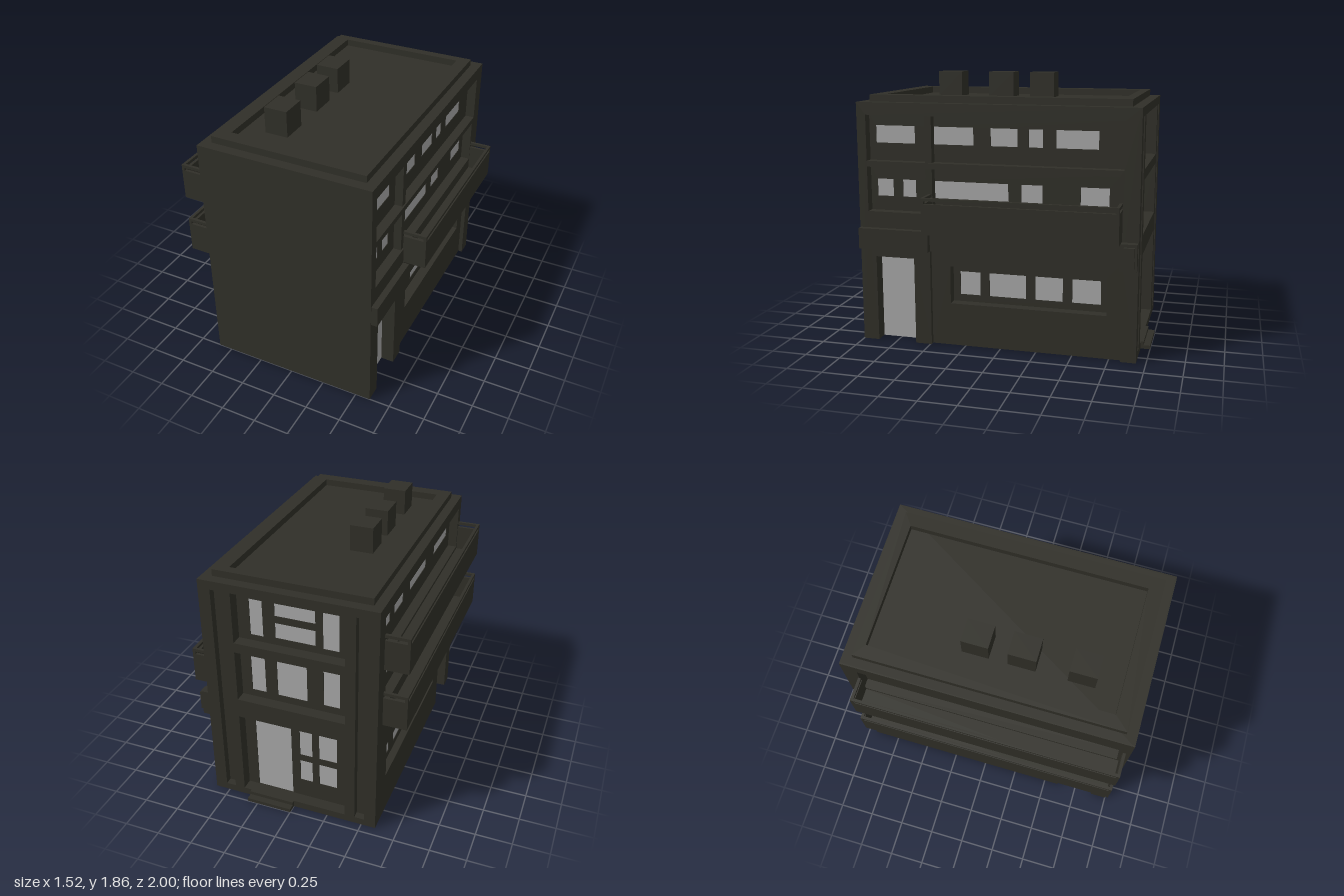
import * as THREE from 'three';

export function createModel() {
  const model = new THREE.Group();
  const concrete = new THREE.MeshStandardMaterial({ color: 0x302f28, side: THREE.DoubleSide });
  concrete.name = 'dark concrete';
  const glass = new THREE.MeshStandardMaterial({ color: 0xa8a8a8, side: THREE.DoubleSide });
  glass.name = 'grey glass';

  const add = (parent, name, geo, mat = concrete) => {
    const m = new THREE.Mesh(geo, mat);
    m.name = name;
    parent.add(m);
    return m;
  };
  // box from its lower and upper limits
  const box = (parent, name, x0, x1, y0, y1, z0, z1) =>
    add(parent, name, new THREE.BoxGeometry(x1 - x0, y1 - y0, z1 - z0))
      .position.set((x0 + x1) / 2, (y0 + y1) / 2, (z0 + z1) / 2);

  // thin sheet with rectangular holes; holes that reach the ground become notches
  // a rectangle is [u0, v0, u1, v1]
  function sheet(parent, name, r, holes, z, t = 0.01, mat = concrete) {
    const notches = holes.filter(h => h[1] <= r[1]).sort((a, b) => a[0] - b[0]);
    const pts = [[r[0], r[1]]];
    for (const n of notches) pts.push([n[0], r[1]], [n[0], n[3]], [n[2], n[3]], [n[2], r[1]]);
    pts.push([r[2], r[1]], [r[2], r[3]], [r[0], r[3]]);
    const shape = new THREE.Shape(pts.map(p => new THREE.Vector2(...p)));
    for (const h of holes.filter(h => h[1] > r[1])) {
      shape.holes.push(new THREE.Path([[h[0], h[1]], [h[0], h[3]], [h[2], h[3]], [h[2], h[1]]]
        .map(p => new THREE.Vector2(...p))));
    }
    const geo = new THREE.ExtrudeGeometry(shape, { depth: t, bevelEnabled: false });
    add(parent, name, geo, mat).position.z = z - t;
  }

  // reveals going back from an opening
  function reveals(parent, r, z, d) {
    const [a, b, c, e] = r, t = 0.008;
    box(parent, 'reveal', a - t, a, b, e, z - d, z - 0.001);
    box(parent, 'reveal', c, c + t, b, e, z - d, z - 0.001);
    box(parent, 'reveal', a, c, e, e + t, z - d, z - 0.001);
    if (b > 0) box(parent, 'reveal', a, c, b - t, b, z - d, z - 0.001);
  }

  // recessed bay: reveals, back panel and panes of glass
  function bay(parent, r, z, d, panes) {
    reveals(parent, r, z, d);
    sheet(parent, 'bayPanel', r, panes, z - d);
    for (const p of panes) sheet(parent, 'windowPane', p, [], z - d - 0.004, 0.004, glass);
  }
  function door(parent, r, z, d) {
    reveals(parent, r, z, d);
    sheet(parent, 'door', r, [], z - d, 0.006, glass);
  }

  // ---- long side walls ----
  function sideWall(s) {
    const right = s < 0;
    const g = new THREE.Group();
    g.name = right ? 'rightSideWall' : 'leftSideWall';
    g.rotation.y = right ? Math.PI / 2 : -Math.PI / 2;
    g.position.x = right ? 0.605 : -0.6;
    // rectangle given by positions along the building
    const R = (za, y0, zb, y1) => [Math.min(s * za, s * zb), y0, Math.max(s * za, s * zb), y1];
    const row = (spans, y0, y1) => spans.map(([a, b]) => R(a, y0, b, y1));

    const top = R(0.935, 1.28, -0.83, 1.595), mid = R(0.935, 0.93, -0.8, 1.24);
    const frame = R(right ? 0.355 : 0.47, 0.3, -0.73, 0.565);
    const entry = R(0.887, 0, 0.607, 0.61), ground = R(0.49, 0, -0.83, 0.67);
    const topPanes = right
      ? [[0.887, 0.605], [0.468, 0.19], [0.07, -0.115], [-0.19, -0.285], [-0.375, -0.655]]
      : [[0.85, 0.49], [0.28, -0.11], [-0.26, -0.45], [-0.54, -0.72]];
    const midPanes = right
      ? [[0.887, 0.77], [0.7, 0.605], [0.468, -0.05], [-0.14, -0.285], [-0.54, -0.73]]
      : topPanes;
    const groundPanes = right
      ? [[0.305, 0.16], [0.095, -0.165], [-0.23, -0.42], [-0.485, -0.68]]
      : [[0.41, 0.19], [0.09, -0.12], [-0.2, -0.42], [-0.52, -0.68]];

    sheet(g, 'wall', R(1, 0, -0.935, 1.68), [top, mid, entry, right ? ground : frame], 0);
    bay(g, top, 0, 0.065, row(topPanes, 1.4, 1.52));
    bay(g, mid, 0, 0.065, row(midPanes, 1.03, 1.15));
    door(g, entry, 0, 0.092);
    if (right) {
      // column dividing the upper bays, and the set-back ground floor panel
      for (const b of [top, mid]) box(g, 'bayColumn', -0.515, -0.468, b[1], b[3], -0.065, -0.01);
      reveals(g, ground, 0, 0.03);
      sheet(g, 'groundPanel', ground, [frame], -0.03);
      bay(g, frame, -0.03, 0.07, row(groundPanes, 0.35, 0.515));
    } else {
      bay(g, frame, 0, 0.05, row(groundPanes, 0.35, 0.515));
    }
    model.add(g);
  }
  sideWall(-1);
  sideWall(1);

  // ---- back wall with entrance ----
  const rear = new THREE.Group();
  rear.name = 'backWall';
  rear.rotation.y = Math.PI;
  rear.position.z = -0.935;
  const B = (xa, y0, xb, y1) => [-xa, y0, -xb, y1];
  const bays = [
    [B(0.38, 1.26, -0.38, 1.62), [B(0.295, 1.3, 0.205, 1.56), B(0.12, 1.31, -0.155, 1.42),
      B(0.12, 1.47, -0.155, 1.56), B(-0.205, 1.3, -0.315, 1.56)]],
    [B(0.38, 0.82, -0.38, 1.19), [B(0.305, 0.87, 0.205, 1.145), B(0.12, 0.87, -0.09, 1.145),
      B(-0.205, 0.87, -0.315, 1.145)]],
    [B(0.38, 0.05, -0.38, 0.68), [B(0.3, 0.052, 0.037, 0.62), B(-0.025, 0.19, -0.115, 0.36),
      B(-0.165, 0.19, -0.295, 0.36), B(-0.025, 0.41, -0.115, 0.61), B(-0.165, 0.41, -0.295, 0.61)]],
  ];
  const grooves = [B(0.52, 0.05, 0.45, 1.62), B(-0.45, 0.05, -0.52, 1.62)];
  sheet(rear, 'wall', [-0.605, 0, 0.6, 1.68], [...bays.map(b => b[0]), ...grooves], 0);
  for (const [r, panes] of bays) bay(rear, r, 0, 0.08, panes);
  for (const r of grooves) bay(rear, r, 0, 0.05, []);
  model.add(rear);
  box(model, 'lowerStep', 0, 0.325, 0, 0.025, -1, -0.935);
  box(model, 'upperStep', 0, 0.325, 0.025, 0.05, -0.955, -0.935);

  // ---- plain front wall, roof, parapet, chimneys ----
  box(model, 'frontWall', -0.6, 0.605, 0, 1.68, 0.99, 1);
  box(model, 'roof', -0.6, 0.605, 1.67, 1.68, -0.935, 1);
  const parapet = new THREE.Group();
  parapet.name = 'parapet';
  parapet.rotation.x = -Math.PI / 2;
  parapet.position.y = 1.727;
  sheet(parapet, 'parapetRing', [-0.535, -0.93, 0.535, 0.865], [[-0.445, -0.835, 0.445, 0.8]], 0, 0.047);
  model.add(parapet);
  for (const [z0, z1] of [[0.49, 0.67], [0.095, 0.28], [-0.21, -0.03]]) {
    box(model, 'chimney', -0.3, -0.14, 1.68, 1.86, z0, z1);
  }

  // ---- balconies: tray, corner posts and handrail ----
  function balcony(s, w, y, z0, z1) {
    const g = new THREE.Group(), t = 0.02;
    g.name = 'balcony';
    const X = (name, a, b, ...rest) =>
      box(g, name, Math.min(s * a, s * b), Math.max(s * a, s * b), ...rest);
    const inner = 0.6, outer = 0.6 + w;
    X('balconyFloor', inner, outer, y, y + 0.03, z0, z1);
    for (const [name, a, b] of [['balconyWall', 0.03, 0.21], ['handrail', 0.23, 0.25]]) {
      X(name, outer - t, outer, y + a, y + b, z0, z1);
      X(name, inner, outer - t, y + a, y + b, z0, z0 + t);
      X(name, inner, outer - t, y + a, y + b, z1 - t, z1);
    }
    for (const z of [z0, z1 - t]) X('railPost', outer - t, outer, y + 0.21, y + 0.23, z, z + t);
    model.add(g);
  }
  balcony(1, 0.16, 0.82, -0.825, 0.49);
  balcony(-1, 0.162, 0.808, -0.84, 0.97);
  balcony(-1, 0.162, 1.23, -0.84, 0.97);

  // ---- door canopy and corner box ----
  box(model, 'doorCanopy', 0.605, 0.648, 0.67, 0.815, 0.49, 0.995);
  box(model, 'cornerBox', 0.605, 0.656, 0.635, 0.815, -0.93, -0.82);
  box(model, 'cornerBoxFace', 0.656, 0.679, 0.66, 0.795, -0.915, -0.845);
  return model;
}
